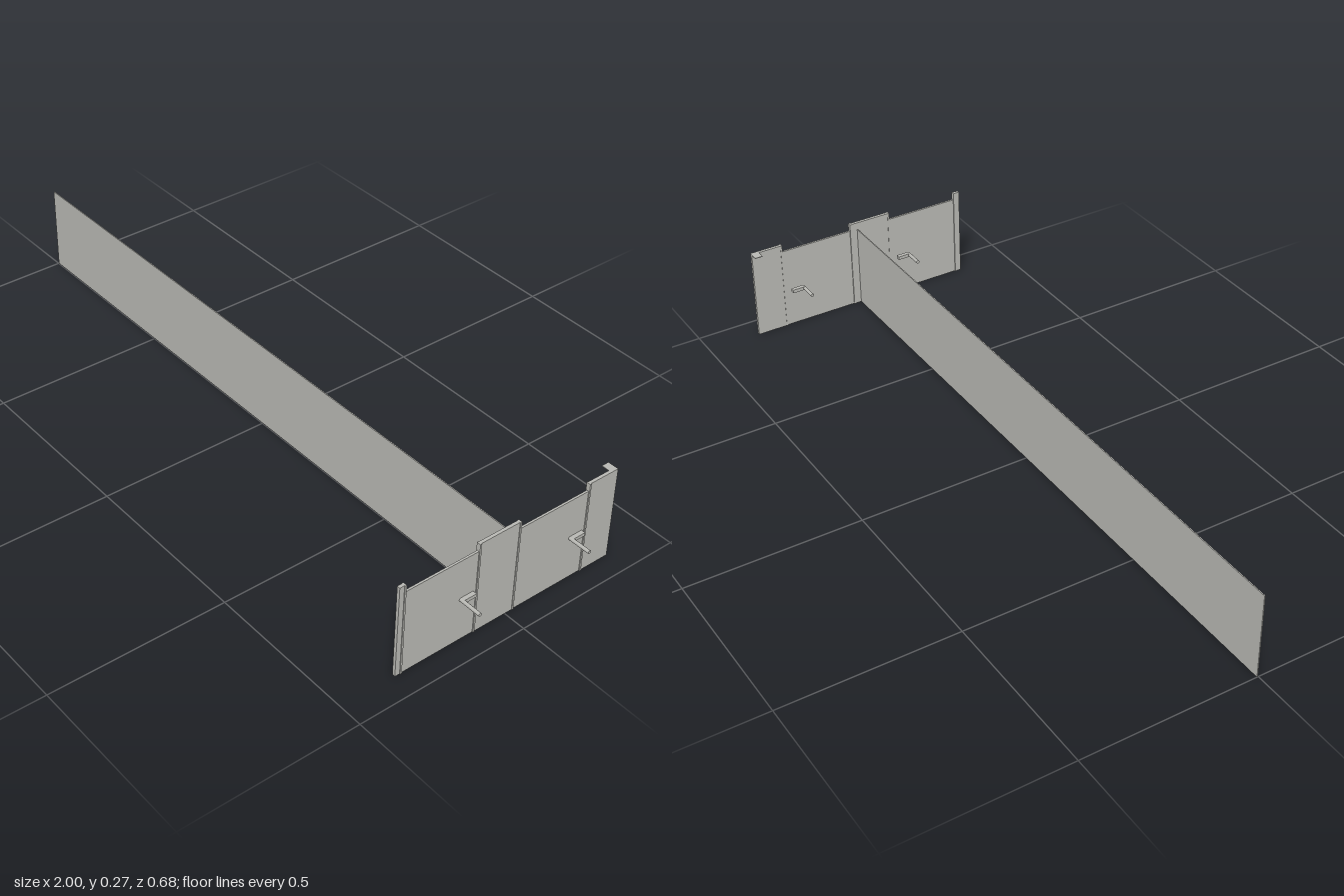
import * as THREE from 'three';

export function createModel() {
  const model = new THREE.Group();
  const grey = new THREE.MeshStandardMaterial({ color: 0xb8b8b3 });

  // Box given by its limits on each axis
  const addBox = (name, [x0, x1], [y0, y1], [z0, z1], parent = model) => {
    const mesh = new THREE.Mesh(new THREE.BoxGeometry(x1 - x0, y1 - y0, z1 - z0), grey);
    mesh.position.set((x0 + x1) / 2, (y0 + y1) / 2, (z0 + z1) / 2);
    mesh.name = name;
    parent.add(mesh);
  };

  // Long thin partition
  addBox('longWall', [-1, 0.927], [0, 0.248], [-0.004, -0.001]);

  // Taller sections of the end wall
  for (const z of [[0.325, 0.342], [-0.025, 0.1], [-0.342, -0.25]]) {
    addBox('endWallSection', [0.926, 0.935], [0, 0.27], z);
  }

  // Two lower door panels and the narrow jambs beside them
  for (const [z0, z1] of [[0.1, 0.325], [-0.25, -0.025]]) {
    addBox('doorPanel', [0.928, 0.934], [0, 0.248], [z0, z1]);
    for (const z of [z0, z1]) {
      addBox('doorJamb', [0.925, 0.937], [0, 0.27], [z - 0.002, z + 0.003]);
    }
  }

  // Small flat tab at the top of the rear end
  addBox('topTab', [0.903, 0.927], [0.268, 0.27], [-0.342, -0.32]);

  // Lever handles on both faces of each door
  for (const z of [0.15, -0.2]) {
    const handle = new THREE.Group();
    handle.name = 'doorHandle';
    for (const [stem, lever] of [[[0.845, 0.905], [0.893, 0.905]], [[0.935, 1], [0.935, 0.947]]]) {
      const rod = new THREE.Mesh(new THREE.CylinderGeometry(0.005, 0.005, stem[1] - stem[0], 12), grey);
      rod.name = 'handleStem';
      rod.rotation.z = Math.PI / 2;
      rod.position.set((stem[0] + stem[1]) / 2, 0.129, z);
      handle.add(rod);
      addBox('handleLever', lever, [0.124, 0.134], [z - 0.038, z], handle);
    }
    model.add(handle);
  }
  return model;
}
